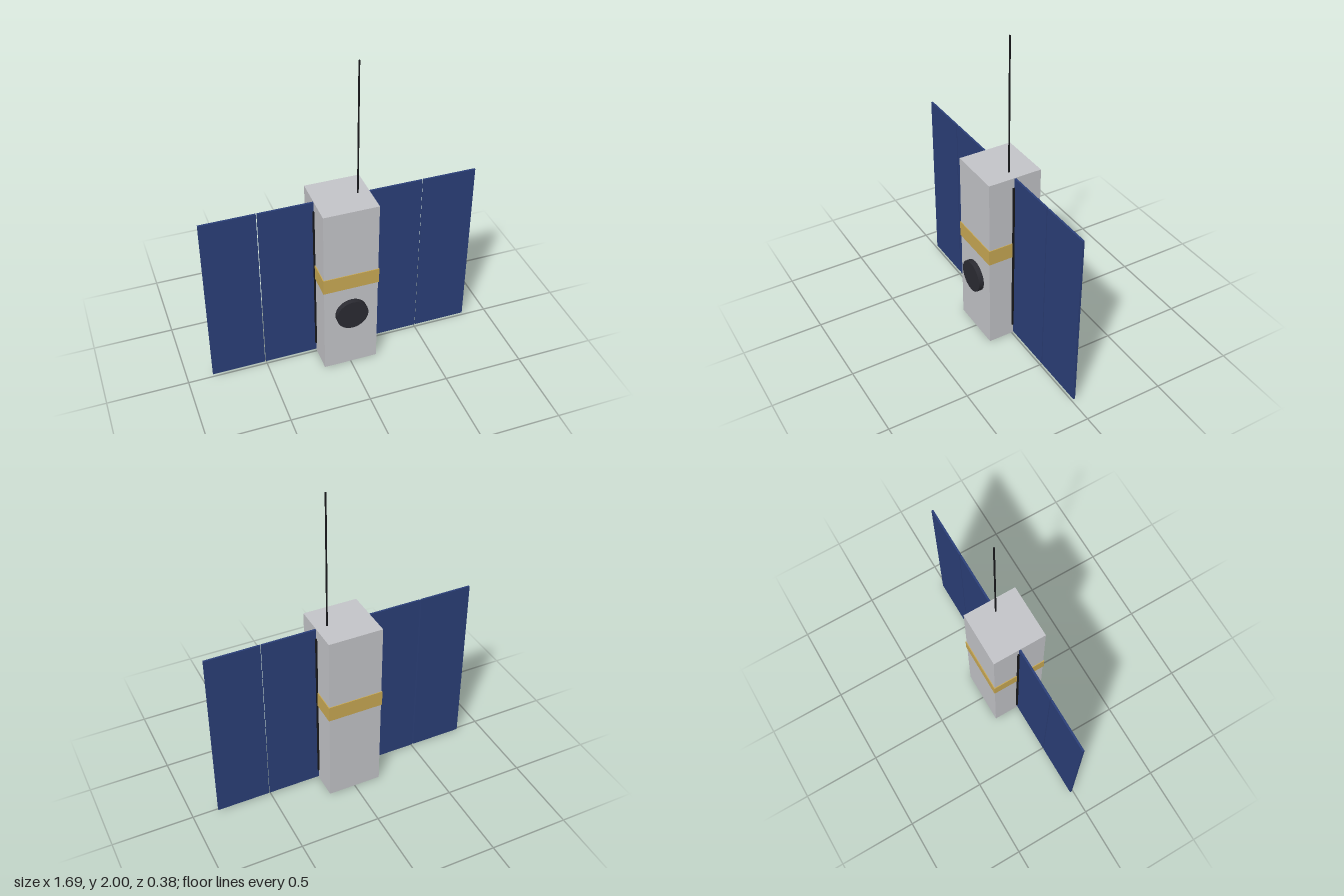
import * as THREE from 'three';

const mat = (name, color) => {
  const m = new THREE.MeshStandardMaterial({ color });
  m.name = name;
  return m;
};

export function createModel() {
  const silver = mat('silver', 0xc4c5c9);
  const gold = mat('gold', 0xc9a954);
  const blue = mat('solarBlue', 0x2b3f78);
  const dark = mat('darkGrey', 0x2b2b32);
  const black = mat('black', 0x18181b);

  const model = new THREE.Group();
  model.name = 'satellite';
  const Z = -0.015; // depth of the body axis
  const add = (name, geometry, material, x, y, z = Z) => {
    const mesh = new THREE.Mesh(geometry, material);
    mesh.name = name;
    mesh.position.set(x, y, z);
    model.add(mesh);
    return mesh;
  };

  // Tall body with a gold band around it
  add('body', new THREE.BoxGeometry(0.34, 1.153, 0.34), silver, 0, 0.5765);
  add('goldBand', new THREE.BoxGeometry(0.35, 0.1, 0.35), gold, 0, 0.65);

  // Round camera on the front face
  const camera = new THREE.CylinderGeometry(0.1, 0.1, 0.05, 32).rotateX(Math.PI / 2);
  add('cameraLens', camera, dark, 0, 0.41, 0.163);

  // Whip antenna on the top
  add('antenna', new THREE.CylinderGeometry(0.005, 0.005, 0.86, 12), black, 0.1, 1.57);

  // Hinge and two solar panels on each side
  for (const [side, s] of [['left', 1], ['right', -1]]) {
    add(side + 'Hinge', new THREE.BoxGeometry(0.014, 1.02, 0.034), black, s * 0.172, 0.58);
    add(side + 'InnerPanel', new THREE.BoxGeometry(0.332, 1.14, 0.012), blue, s * 0.337, 0.58);
    add(side + 'OuterPanel', new THREE.BoxGeometry(0.333, 1.14, 0.012), blue, s * 0.6765, 0.58);
  }
  return model;
}
